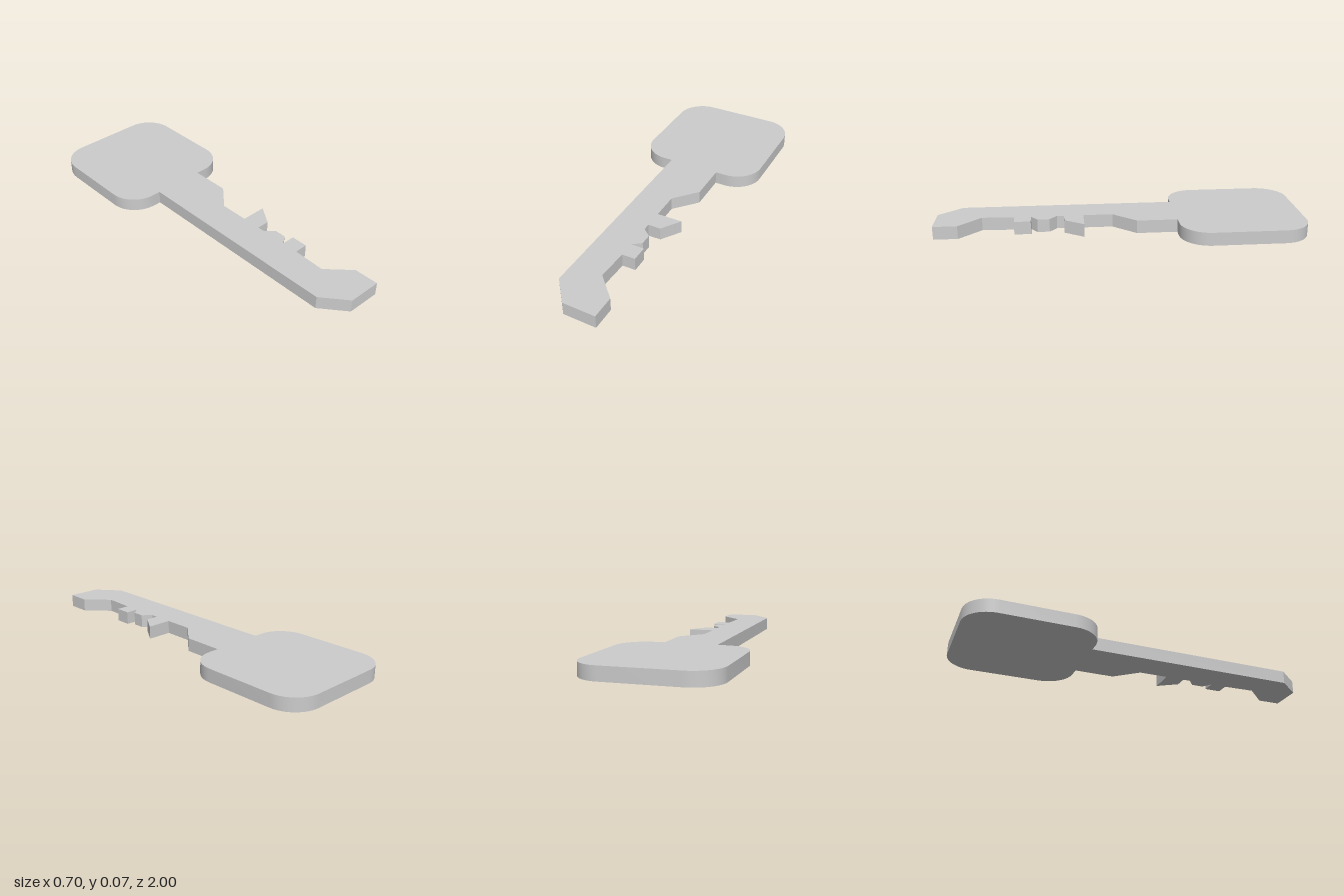
import * as THREE from 'three';
import { toCreasedNormals } from 'three/addons/utils/BufferGeometryUtils.js';

const THICKNESS = 0.072;
const HEAD = { halfWidth: 0.352, near: 0.305, far: 1, radius: 0.155 };

// Blade outline as [x, z], from the left shoulder round the tip and up the toothed edge
const BLADE = [
  [-0.148, -0.305], [-0.148, 0.865], [-0.042, 0.995], [0.14, 1], [0.14, 0.87],
  [0.023, 0.75], [0.03, 0.575], [0.103, 0.575], [0.103, 0.485], [0.03, 0.485],
  [0.077, 0.45], [0.077, 0.385], [0.03, 0.345], [0.03, 0.305], [0.1, 0.305],
  [0.17, 0.2], [0.03, 0.2], [0.03, 0.04], [0.14, -0.085], [0.14, -0.305],
];

export function createModel() {
  const group = new THREE.Group();
  group.name = 'key';

  const outline = new THREE.Shape();
  BLADE.forEach(([x, z], i) => (i ? outline.lineTo(x, -z) : outline.moveTo(x, -z)));

  // Rounded head: four quarter arcs, counter-clockwise from the near right corner
  const { halfWidth, near, far, radius } = HEAD;
  const cx = halfWidth - radius;
  [[cx, near + radius], [cx, far - radius], [-cx, far - radius], [-cx, near + radius]]
    .forEach(([x, y], i) => {
      const start = (i - 1) * Math.PI / 2;
      outline.absarc(x, y, radius, start, start + Math.PI / 2, false);
    });
  outline.closePath();

  // Lay the plate flat, its underside on the ground
  const plate = new THREE.ExtrudeGeometry(outline, {
    depth: THICKNESS, bevelEnabled: false, curveSegments: 6,
  });
  plate.rotateX(-Math.PI / 2);

  const mesh = new THREE.Mesh(
    toCreasedNormals(plate, Math.PI / 7),
    new THREE.MeshStandardMaterial({ color: 0xcccccc }),
  );
  mesh.name = 'keyHeadAndBlade';
  group.add(mesh);
  return group;
}
